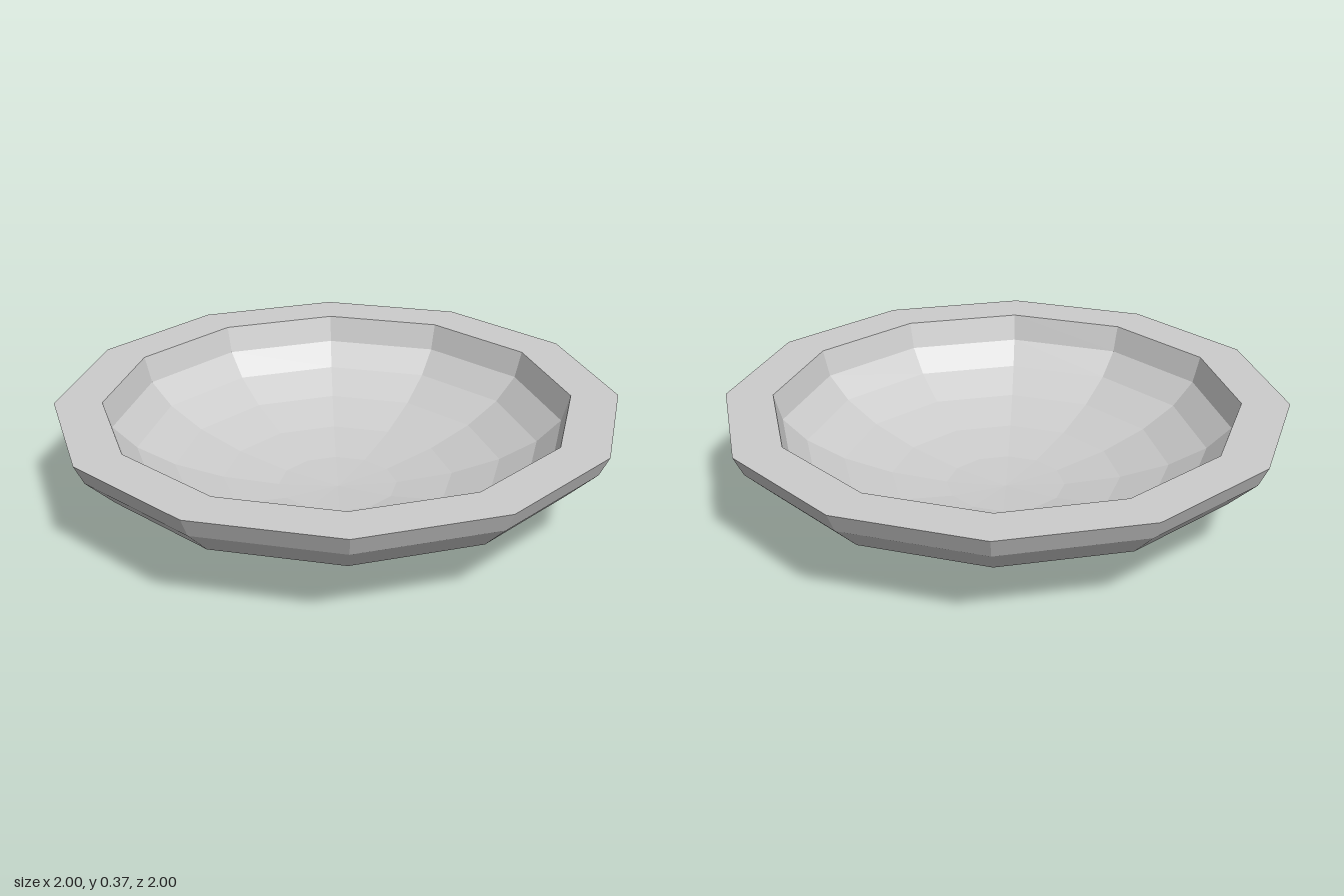
import * as THREE from 'three';

const SIDES = 12;
const RIM_Y = 0.372;

// Squashed hemisphere profile, from the bottom pole up to the rim
function bowlProfile(radius, height, bottomY) {
  const points = [];
  for (let i = 0; i < 6; i++) {
    const a = (i * Math.PI) / 12;
    points.push(new THREE.Vector2(radius * Math.sin(a), bottomY + height * (1 - Math.cos(a))));
  }
  points.push(new THREE.Vector2(radius, RIM_Y));
  return points;
}

export function createModel() {
  const group = new THREE.Group();
  group.name = 'bowl';
  const material = new THREE.MeshStandardMaterial({ color: 0xcccccc, flatShading: true });

  const addLathe = (name, points) => {
    const mesh = new THREE.Mesh(new THREE.LatheGeometry(points, SIDES), material);
    mesh.name = name;
    group.add(mesh);
  };

  const outer = bowlProfile(1, 0.406, 0);
  const inner = bowlProfile(0.83, 0.337, 0.026);

  // Outside shell, flat rim, and inside surface (profile reversed to face inward)
  addLathe('outerShell', outer);
  addLathe('rim', [outer[6], inner[6]]);
  addLathe('innerShell', inner.slice().reverse());

  return group;
}
